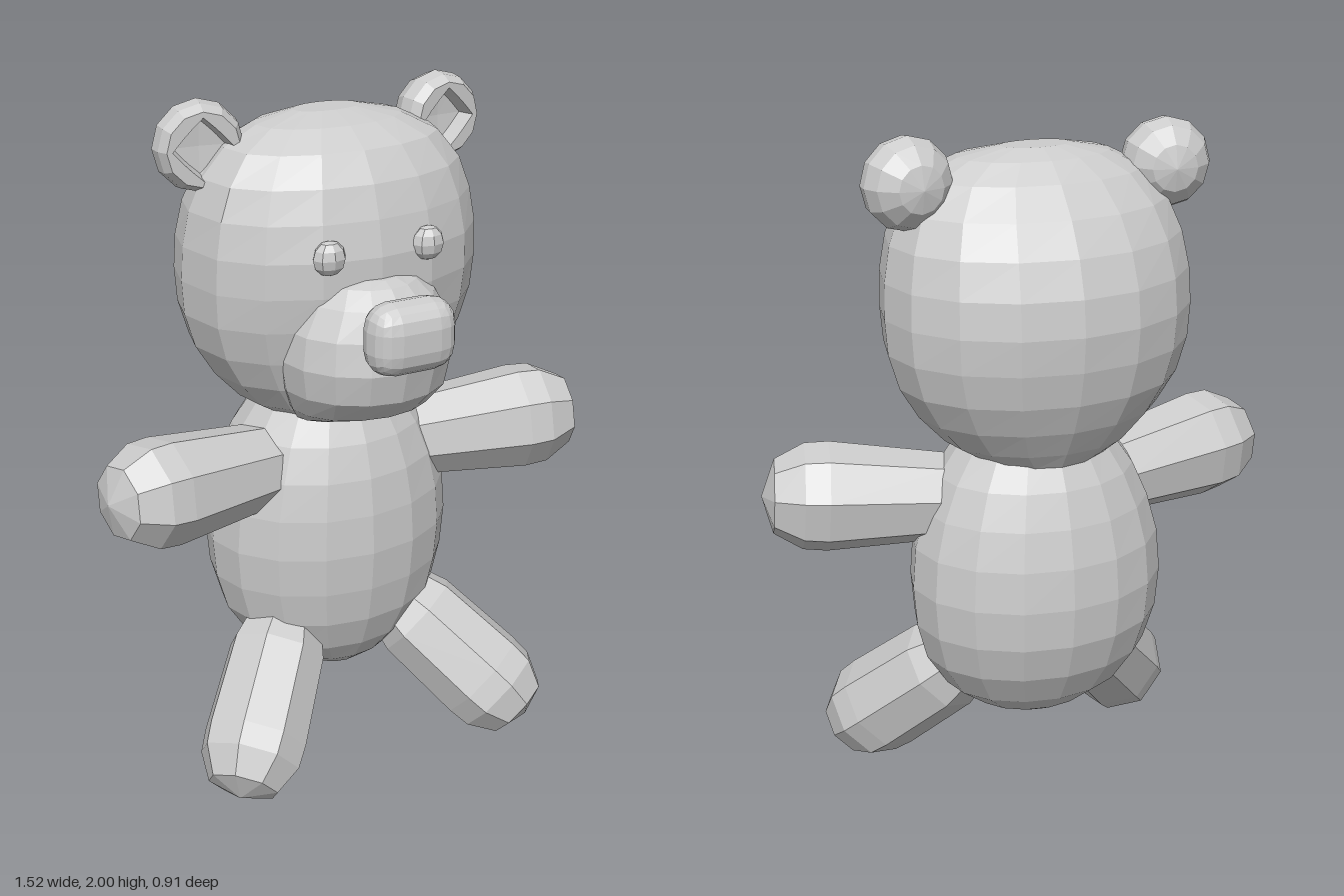
import * as THREE from 'three';
import { RoundedBoxGeometry } from 'three/addons/geometries/RoundedBoxGeometry.js';

const plush = new THREE.MeshStandardMaterial({ color: 0xcccccc, flatShading: true });
plush.name = 'light grey plush';

function add(parent, name, geometry) {
  const mesh = new THREE.Mesh(geometry, plush);
  mesh.name = name;
  parent.add(mesh);
  return mesh;
}

// Closed skin over oval rings; each ring is [y, half width, front z, back z].
// A frontPower below 1 makes the front half fuller.
function loft(rings, sides, frontPower = 1) {
  const pos = [], index = [];
  for (const [y, w, front, back] of rings) {
    for (let j = 0; j < sides; j++) {
      const a = (j / sides) * Math.PI * 2, c = Math.cos(a);
      const depth = c > 0 ? Math.pow(c, frontPower) : c;
      pos.push(w * Math.sin(a), y, (front + back) / 2 + ((front - back) / 2) * depth);
    }
  }
  const last = rings.length - 1, bottom = rings.length * sides, top = bottom + 1;
  for (const r of [rings[0], rings[last]]) pos.push(0, r[0], (r[2] + r[3]) / 2);
  for (let j = 0; j < sides; j++) {
    const k = (j + 1) % sides;
    for (let i = 0; i < last; i++) {
      const a = i * sides + j, b = i * sides + k;
      index.push(a, b, b + sides, a, b + sides, a + sides);
    }
    index.push(bottom, k, j, top, last * sides + j, last * sides + k);
  }
  const g = new THREE.BufferGeometry();
  g.setAttribute('position', new THREE.Float32BufferAttribute(pos, 3));
  g.setIndex(index);
  g.computeVertexNormals();
  return g;
}

const lathe = (points, sides) =>
  new THREE.LatheGeometry(points.map(([r, y]) => new THREE.Vector2(r, y)), sides);

// Tapered eight-sided limb with a rounded tip, from start towards the tip centre
function limb(parent, name, start, tip, rootRadius, tipRadius) {
  const from = new THREE.Vector3(...start), dir = new THREE.Vector3(...tip).sub(from);
  const len = dir.length(), r = tipRadius;
  const mesh = add(parent, name, lathe([
    [0, -0.06], [rootRadius * 0.8, -0.035], [rootRadius, 0.06], [r, len - 0.03],
    [r * 0.97, len + r * 0.25], [r * 0.68, len + r * 0.78], [0, len + r],
  ], 8));
  mesh.position.copy(from);
  mesh.quaternion.setFromUnitVectors(new THREE.Vector3(0, 1, 0), dir.normalize());
}

// Cupped ear facing forward, with a four-cornered hollow
function earGeometry() {
  const profile = [[0, -0.09], [0.065, -0.075], [0.11, -0.035], [0.128, 0.01],
    [0.122, 0.05], [0.104, 0.078], [0.088, 0.078], [0.075, 0.03], [0, 0.025]];
  const sides = 12, g = lathe(profile, sides), p = g.attributes.position;
  for (let i = 0; i <= sides; i++) {
    if (i % 3 === 0) continue;
    for (const j of [6, 7]) {
      const v = i * profile.length + j;
      p.setX(v, p.getX(v) * 0.76);
      p.setZ(v, p.getZ(v) * 0.76);
    }
  }
  return g.rotateX(Math.PI / 2);
}

export function createModel() {
  const bear = new THREE.Group();
  bear.name = 'teddyBear';

  // Torso
  add(bear, 'body', loft([
    [0.25, 0.09, 0.03, -0.15], [0.29, 0.18, 0.08, -0.22], [0.36, 0.27, 0.13, -0.3],
    [0.46, 0.335, 0.17, -0.36], [0.57, 0.365, 0.19, -0.395], [0.69, 0.375, 0.2, -0.405],
    [0.81, 0.365, 0.195, -0.395], [0.92, 0.335, 0.18, -0.37], [1.02, 0.29, 0.15, -0.335],
    [1.12, 0.22, 0.1, -0.28],
  ], 16));

  // Head
  const head = new THREE.Group();
  head.name = 'head';
  bear.add(head);
  add(head, 'skull', loft([
    [1.08, 0.19, 0.08, -0.3], [1.13, 0.275, 0.12, -0.335], [1.21, 0.35, 0.165, -0.385],
    [1.3, 0.405, 0.195, -0.425], [1.4, 0.435, 0.22, -0.448], [1.5, 0.442, 0.235, -0.457],
    [1.6, 0.438, 0.235, -0.445], [1.7, 0.42, 0.215, -0.41], [1.79, 0.385, 0.185, -0.355],
    [1.87, 0.32, 0.13, -0.28], [1.92, 0.22, 0.05, -0.215], [1.945, 0.1, -0.04, -0.15],
  ], 16, 0.82));

  // Muzzle and nose
  add(head, 'muzzle', loft([
    [1.1, 0.17, 0.15, -0.05], [1.15, 0.21, 0.28, -0.07], [1.22, 0.24, 0.352, -0.1],
    [1.31, 0.255, 0.375, -0.12], [1.4, 0.242, 0.36, -0.1], [1.48, 0.195, 0.335, -0.08],
    [1.525, 0.15, 0.285, -0.05], [1.54, 0.1, 0.25, -0.05],
  ], 16));
  add(head, 'nose', new RoundedBoxGeometry(0.26, 0.205, 0.145, 2, 0.0724))
    .position.set(0, 1.425, 0.384);

  // Mirrored parts
  for (const [side, s] of [['left', 1], ['right', -1]]) {
    const eye = add(head, side + 'Eye', new THREE.SphereGeometry(0.049, 8, 6));
    eye.scale.z = 0.75;
    eye.position.set(s * 0.152, 1.615, 0.216);

    const ear = add(head, side + 'Ear', earGeometry());
    ear.position.set(s * 0.372, 1.872, -0.143);
    ear.rotation.y = s * 0.12;

    limb(bear, side + 'Arm', [s * 0.2, 0.93, -0.045], [s * 0.608, 0.955, 0.045], 0.127, 0.158);
    limb(bear, side + 'Leg', [s * 0.21, 0.39, 0.01], [s * 0.405, 0.16, 0.21], 0.145, 0.154);
  }
  return bear;
}
